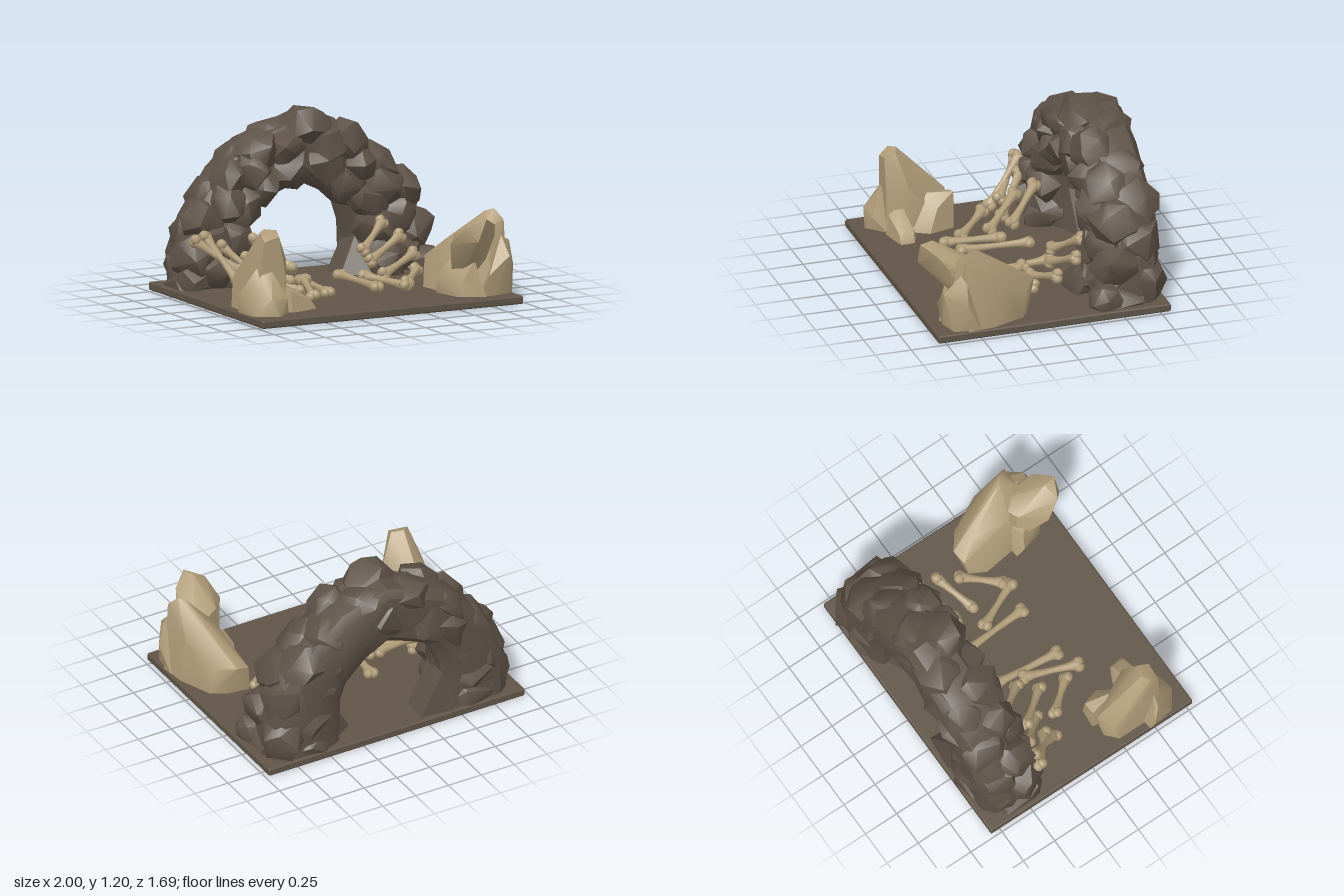
import * as THREE from 'three';
import { toCreasedNormals } from 'three/addons/utils/BufferGeometryUtils.js';
import { ConvexGeometry } from 'three/addons/geometries/ConvexGeometry.js';
import { RoundedBoxGeometry } from 'three/addons/geometries/RoundedBoxGeometry.js';

const V = (x, y, z) => new THREE.Vector3(x, y, z);
const GROUND = 0.055;

const material = (name, color) => Object.assign(new THREE.MeshStandardMaterial({ color }), { name });

// small seeded random in -1..1
function seeded(seed) {
  return () => {
    seed = (seed * 16807) % 2147483647;
    return (seed / 2147483647) * 2 - 1;
  };
}

function addMesh(parent, name, geometry, mat) {
  const mesh = new THREE.Mesh(geometry, mat);
  mesh.name = name;
  parent.add(mesh);
  return mesh;
}

function subgroup(parent, name) {
  const g = new THREE.Group();
  g.name = name;
  parent.add(g);
  return g;
}

const hull = (points) => toCreasedNormals(new ConvexGeometry(points), 0.75);

// Inner edge x, y and outer edge x, y of the arch, from foot to foot
const STATIONS = [
  [-0.36, 0.05, -0.95, 0.05], [-0.37, 0.24, -0.95, 0.27], [-0.36, 0.42, -0.87, 0.52],
  [-0.29, 0.56, -0.63, 0.84], [-0.14, 0.62, -0.42, 1.03], [0.02, 0.69, 0.04, 1.19],
  [0.18, 0.6, 0.39, 1.07], [0.34, 0.48, 0.62, 0.88], [0.365, 0.36, 0.84, 0.67],
  [0.37, 0.22, 0.95, 0.36], [0.37, 0.05, 0.96, 0.05],
];

// Swept core of the arch: one squarish ring per station
function archCore() {
  const sides = 12, pos = [], idx = [], rand = seeded(77);
  const square = (v) => Math.sign(v) * Math.pow(Math.abs(v), 0.65);
  STATIONS.forEach(([ix, iy, ox, oy], i) => {
    const foot = i === 0 || i === STATIONS.length - 1;
    for (let j = 0; j < sides; j++) {
      const a = (j / sides) * Math.PI * 2;
      const f = 0.47 + 0.46 * square(Math.cos(a)) + (foot ? 0 : rand() * 0.02);
      pos.push(ix + (ox - ix) * f, iy + (oy - iy) * f, -0.62 + 0.18 * square(Math.sin(a)) + rand() * 0.015);
    }
  });
  for (let i = 0; i < STATIONS.length - 1; i++) {
    for (let j = 0; j < sides; j++) {
      const a = i * sides + j, b = i * sides + ((j + 1) % sides);
      idx.push(a, b, a + sides, b, b + sides, a + sides);
    }
  }
  const g = new THREE.BufferGeometry();
  g.setAttribute('position', new THREE.Float32BufferAttribute(pos, 3));
  g.setIndex(idx);
  return toCreasedNormals(g, 0.6);
}

// Irregular convex boulder, tilted in the arch plane and cut off at the ground
function boulder(center, radii, tilt, rand) {
  const pts = [], n = 18, spin = rand() * 3;
  for (let k = 0; k < n; k++) {
    const y = 1 - (2 * (k + 0.5)) / n, r = Math.sqrt(1 - y * y);
    const a = spin + k * 2.39996 + rand() * 0.4, s = 1.04 + rand() * 0.12;
    const p = V(Math.cos(a) * r, y, Math.sin(a) * r).multiplyScalar(s).multiply(radii);
    p.applyAxisAngle(V(0, 0, 1), tilt).add(center);
    p.y = Math.max(p.y, GROUND - 0.01);
    pts.push(p);
  }
  return hull(pts);
}

// Layers of boulders: station offset, fraction across, depth, radius across, along, in depth
const LAYERS = [
  [0, 0.73, -0.51, 0.29, 0.17, 0.18],
  [0.5, 0.33, -0.49, 0.3, 0.17, 0.18],
  [0.5, 0.58, -0.47, 0.3, 0.15, 0.16],
  [0.5, 0.74, -0.65, 0.25, 0.18, 0.17],
  [0, 0.42, -0.66, 0.34, 0.18, 0.16],
];

// Bone from a to b: waisted shaft with two flattened knobs at each end
function addBone(parent, a, b, mat) {
  const bone = subgroup(parent, 'bone');
  const dir = b.clone().sub(a), L = dir.length();
  const profile = [[0, -0.01], [0.032, 0], [0.04, 0.025], [0.027, 0.085], [0.021, L / 2],
    [0.027, L - 0.085], [0.04, L - 0.025], [0.032, L], [0, L + 0.01]];
  addMesh(bone, 'boneShaft', new THREE.LatheGeometry(profile.map(([x, y]) => new THREE.Vector2(x, y)), 8), mat);
  for (const y of [0.012, L - 0.012]) {
    for (const s of [-1, 1]) {
      const knob = addMesh(bone, 'boneKnob', new THREE.SphereGeometry(0.034, 7, 5), mat);
      knob.position.set(s * 0.02, y, 0);
      knob.scale.set(1, 1.1, 1.1);
    }
  }
  bone.position.copy(a);
  bone.quaternion.setFromUnitVectors(V(0, 1, 0), dir.normalize());
}

// Pale rocks, each the hull of its corner points
const PALE_ROCKS = {
  rightMainRock: [[0.54, 0.05, 0.2], [0.6, 0.05, 0.09], [0.76, 0.05, 0.11], [0.86, 0.05, 0.17], [0.95, 0.05, 0.4],
    [0.97, 0.05, 0.58], [0.8, 0.05, 0.68], [0.58, 0.05, 0.5], [0.62, 0.24, 0.07], [0.72, 0.27, 0.05],
    [0.84, 0.25, 0.14], [0.7, 0.36, 0.2], [0.93, 0.38, 0.36], [0.84, 0.59, 0.5], [0.89, 0.61, 0.54],
    [0.93, 0.54, 0.6], [0.8, 0.5, 0.62], [0.66, 0.4, 0.46]],
  rightSideRock: [[0.8, 0.05, 0.45], [0.97, 0.06, 0.5], [1, 0.24, 0.6], [0.97, 0.4, 0.6], [0.9, 0.44, 0.62],
    [0.95, 0.06, 0.68], [0.8, 0.06, 0.72], [0.75, 0.2, 0.74], [0.9, 0.32, 0.74], [0.72, 0.05, 0.66]],
  rightLeaningRock: [[0.62, 0.08, 0.46], [0.8, 0.1, 0.48], [0.82, 0.4, 0.42], [0.62, 0.46, 0.5], [0.5, 0.42, 0.66],
    [0.55, 0.54, 0.77], [0.66, 0.61, 0.74], [0.68, 0.6, 0.83], [0.79, 0.54, 0.74], [0.82, 0.46, 0.68],
    [0.77, 0.38, 0.7], [0.62, 0.45, 0.83], [0.58, 0.35, 0.68]],
  rightSmallRock: [[0.52, 0.05, 0.42], [0.57, 0.05, 0.64], [0.74, 0.05, 0.72], [0.75, 0.05, 0.4], [0.5, 0.16, 0.47],
    [0.56, 0.27, 0.5], [0.68, 0.3, 0.66], [0.6, 0.17, 0.66], [0.66, 0.3, 0.45]],
  leftTallRock: [[-0.92, 0.05, 0.25], [-0.84, 0.05, 0.18], [-0.7, 0.05, 0.2], [-0.64, 0.05, 0.42], [-0.7, 0.05, 0.6],
    [-0.92, 0.05, 0.58], [-0.9, 0.25, 0.23], [-0.78, 0.28, 0.17], [-0.9, 0.42, 0.42], [-0.63, 0.39, 0.47],
    [-0.7, 0.3, 0.6], [-0.86, 0.6, 0.54], [-0.81, 0.61, 0.5], [-0.73, 0.6, 0.53], [-0.75, 0.57, 0.6],
    [-0.86, 0.54, 0.6]],
  leftFrontRock: [[-0.98, 0.06, 0.46], [-0.95, 0.05, 0.65], [-0.8, 0.05, 0.72], [-0.68, 0.05, 0.6], [-0.76, 0.05, 0.42],
    [-1, 0.17, 0.48], [-0.95, 0.28, 0.54], [-0.88, 0.37, 0.55], [-0.8, 0.34, 0.6], [-0.73, 0.16, 0.69],
    [-0.86, 0.18, 0.71]],
  leftSideRock: [[-0.75, 0.05, 0.15], [-0.62, 0.05, 0.16], [-0.57, 0.05, 0.34], [-0.64, 0.05, 0.46], [-0.77, 0.05, 0.4],
    [-0.74, 0.28, 0.16], [-0.66, 0.3, 0.15], [-0.6, 0.22, 0.28], [-0.7, 0.3, 0.36]],
  leftSmallRock: [[-0.74, 0.05, 0.5], [-0.58, 0.05, 0.43], [-0.47, 0.05, 0.48], [-0.46, 0.06, 0.58], [-0.66, 0.05, 0.62],
    [-0.7, 0.25, 0.5], [-0.6, 0.2, 0.5], [-0.5, 0.14, 0.48], [-0.5, 0.12, 0.58], [-0.66, 0.19, 0.6]],
};

// Low spurs where the arch feet spread into the passage
const SPURS = {
  leftFootSpur: [[-0.38, 0.34, -0.76], [-0.38, 0.34, -0.56], [-0.45, 0.05, -0.8], [-0.45, 0.05, -0.48],
    [-0.3, 0.14, -0.76], [-0.3, 0.14, -0.6], [-0.2, 0.05, -0.78], [-0.22, 0.05, -0.58]],
  rightFootSpur: [[0.4, 0.3, -0.66], [0.4, 0.3, -0.5], [0.45, 0.05, -0.74], [0.45, 0.05, -0.34],
    [0.3, 0.13, -0.58], [0.3, 0.13, -0.46], [0.25, 0.05, -0.62], [0.25, 0.05, -0.42]],
};

// End points of each bone
const BONES = [
  [0.15, 0.1, -0.25, 0.18, 0.09, 0.24], [0.22, 0.12, -0.05, 0.38, 0.09, 0.28],
  [0.4, 0.1, 0.24, 0.6, 0.14, 0], [0.36, 0.11, -0.03, 0.66, 0.22, -0.14],
  [0.3, 0.25, -0.2, 0.53, 0.41, -0.35], [0.34, 0.18, -0.18, 0.63, 0.32, -0.28],
  [-0.15, 0.1, -0.22, -0.2, 0.09, 0.26], [-0.22, 0.13, -0.05, -0.35, 0.09, 0.33],
  [-0.57, 0.18, -0.03, -0.37, 0.1, 0.2], [-0.56, 0.28, -0.25, -0.34, 0.13, 0.01],
  [-0.45, 0.38, -0.35, -0.26, 0.19, -0.12], [-0.8, 0.43, -0.36, -0.68, 0.14, -0.1],
  [-0.88, 0.4, -0.36, -0.64, 0.2, -0.16], [-0.7, 0.36, -0.33, -0.5, 0.14, -0.13],
];

export function createModel() {
  const model = new THREE.Group();
  model.name = 'boneCaveArch';
  const earth = material('earth brown', 0x615548);
  const darkStone = material('dark stone', 0x5e5247);
  const paleStone = material('pale bone', 0xb09c78);

  // Ground slab
  const slab = addMesh(model, 'groundSlab', new RoundedBoxGeometry(1.95, GROUND, 1.62, 2, 0.012), earth);
  slab.position.set(0, GROUND / 2, -0.01);

  // Arch: swept core wrapped in overlapping boulders
  const arch = subgroup(model, 'rockArch');
  addMesh(arch, 'archCore', archCore(), darkStone);
  const rand = seeded(4321);
  for (const [offset, f, z, across, along, depth] of LAYERS) {
    for (let i = 0; i + offset <= STATIONS.length - 1; i++) {
      const next = STATIONS[Math.min(i + 1, STATIONS.length - 1)];
      const [ix, iy, ox, oy] = STATIONS[i].map((v, k) => v + (next[k] - v) * offset);
      const width = Math.hypot(ox - ix, oy - iy), tilt = Math.atan2(oy - iy, ox - ix);
      const center = V(ix + (ox - ix) * f, iy + (oy - iy) * f, z + rand() * 0.025);
      const radii = V(width * across, along + rand() * 0.02, depth);
      addMesh(arch, 'archBoulder', boulder(center, radii, tilt, rand), darkStone);
    }
  }
  // Loose stones at the feet
  for (const [x, z, r] of [[0.86, -0.4, 0.12], [0.54, -0.34, 0.13], [-0.52, -0.4, 0.12], [-0.84, -0.45, 0.11]]) {
    addMesh(arch, 'footStone', boulder(V(x, 0.1, z), V(r, 0.12, r), 0, rand), darkStone);
  }

  const addHulls = (parent, table, mat) => {
    for (const [name, pts] of Object.entries(table)) {
      addMesh(parent, name, hull(pts.map((p) => V(...p))), mat);
    }
  };
  addHulls(arch, SPURS, darkStone);

  // Pale rock clusters at the front corners
  addHulls(subgroup(model, 'paleRocks'), PALE_ROCKS, paleStone);

  // Scattered bones
  const bones = subgroup(model, 'bones');
  for (const [ax, ay, az, bx, by, bz] of BONES) {
    addBone(bones, V(ax, ay, az), V(bx, by, bz), paleStone);
  }
  return model;
}
